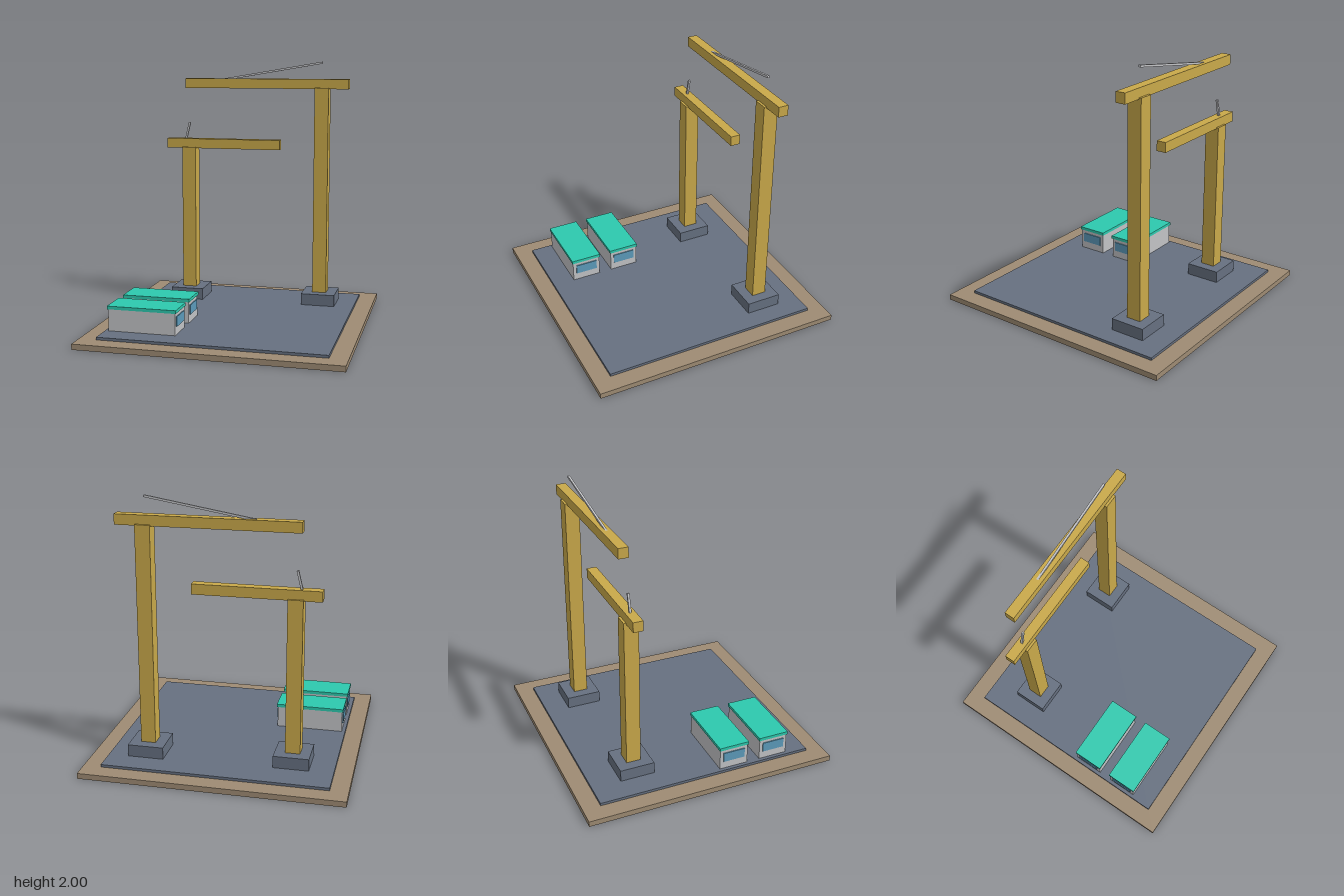
import * as THREE from 'three';

const material = (name, color) => {
  const m = new THREE.MeshStandardMaterial({ color });
  m.name = name;
  return m;
};

export function createModel() {
  const earth = material('earth brown', 0x9e8b73);
  const concrete = material('slate concrete', 0x667080);
  const yellow = material('crane yellow', 0xc9a94a);
  const steel = material('light grey', 0xc2c3c6);
  const teal = material('teal roof', 0x2dc9ae);
  const glass = material('window blue', 0x5c9bbb);

  const model = new THREE.Group();
  model.name = 'constructionSite';

  const box = (parent, name, mat, w, h, d, x, y, z) => {
    const mesh = new THREE.Mesh(new THREE.BoxGeometry(w, h, d), mat);
    mesh.name = name;
    mesh.position.set(x, y, z);
    parent.add(mesh);
    return mesh;
  };

  // Ground and paved slab
  box(model, 'groundPlate', earth, 1.94, 0.042, 1.94, 0, 0.021, 0);
  box(model, 'pavedSlab', concrete, 1.674, 0.02, 1.674, 0, 0.052, 0);

  // Tower crane: footing, mast, jib and a slanted tie bar (from and to in the xy plane)
  const crane = (name, x, z, pad, mastTop, jibLeft, jibRight, jibY, from, to) => {
    const g = new THREE.Group();
    g.name = name;
    g.position.set(x, 0, z);
    box(g, 'footing', concrete, pad, 0.09, pad, 0, 0.107, 0);
    box(g, 'mast', yellow, 0.111, mastTop - 0.15, 0.111, 0, (mastTop + 0.15) / 2, 0);
    box(g, 'jib', yellow, jibRight - jibLeft, 0.077, 0.075, (jibLeft + jibRight) / 2 - x, jibY, 0);
    const dx = to[0] - from[0], dy = to[1] - from[1];
    const bar = box(g, 'tieBar', steel, Math.hypot(dx, dy), 0.016, 0.016,
      (from[0] + to[0]) / 2 - x, (from[1] + to[1]) / 2, 0);
    bar.rotation.z = Math.atan2(dy, dx);
    model.add(g);
  };
  crane('tallCrane', 0.553, -0.524, 0.268, 1.797, -0.569, 0.762, 1.825, [-0.25, 1.856], [0.551, 1.992]);
  crane('shortCrane', -0.525, -0.482, 0.265, 1.31, -0.712, 0.223, 1.339, [-0.567, 1.355], [-0.53, 1.508]);

  // Site cabins with overhanging roofs and end windows
  for (const z of [0.227, 0.555]) {
    const cabin = new THREE.Group();
    cabin.name = 'siteCabin';
    cabin.position.set(-0.555, 0, z);
    box(cabin, 'cabinBody', steel, 0.51, 0.163, 0.226, 0, 0.1435, 0);
    box(cabin, 'cabinRoof', teal, 0.525, 0.024, 0.238, 0, 0.237, 0);
    for (const side of [-1, 1])
      box(cabin, 'endWindow', glass, 0.009, 0.074, 0.173, side * 0.258, 0.16, 0);
    model.add(cabin);
  }

  return model;
}
